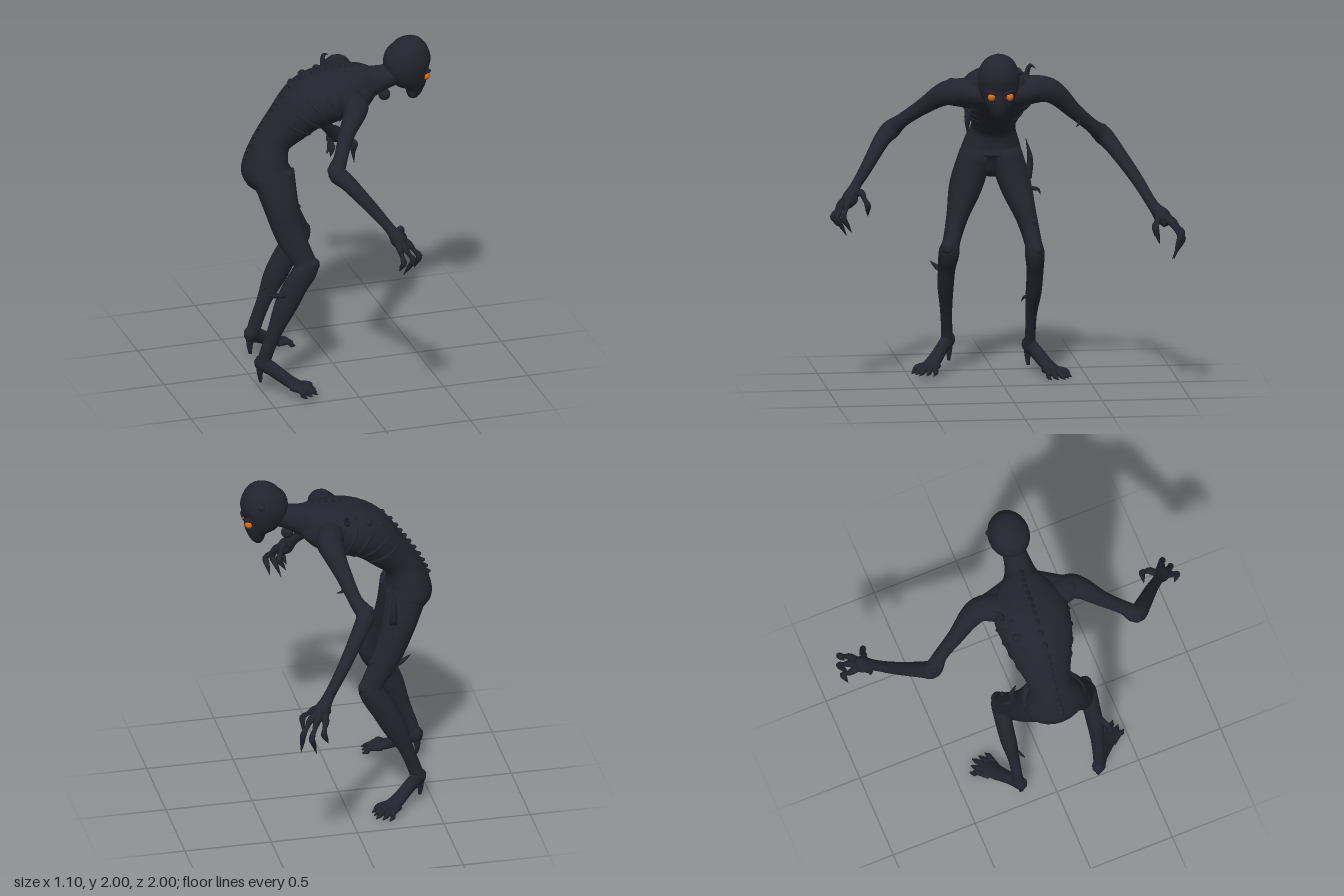
import * as THREE from 'three';

const V = (x, y, z) => new THREE.Vector3(x, y, z);
const skin = new THREE.MeshStandardMaterial({ color: 0x23232f });
skin.name = 'dark skin';
const glow = new THREE.MeshStandardMaterial({ color: 0xd9690c });
glow.name = 'orange eye';

// Smooth path through sections [x, y, z, halfWidth, halfDepth]; width lies along the hint direction
function sweep(rows, hint) {
  const path = new THREE.CatmullRomCurve3(rows.map(r => V(r[0], r[1], r[2])), false, 'catmullrom', 0.5);
  const size = new THREE.CatmullRomCurve3(rows.map(r => V(r[3], r[4] ?? r[3], 0)), false, 'catmullrom', 0.5);
  return (t, angle, grow = 0) => {
    const c = path.getPoint(t), s = size.getPoint(t), dir = path.getTangent(t);
    const u = hint.clone().addScaledVector(dir, -hint.dot(dir)).normalize();
    const v = dir.clone().cross(u);
    return c.addScaledVector(u, (Math.max(s.x, 0.001) + grow) * Math.cos(angle))
      .addScaledVector(v, (Math.max(s.y, 0.001) + grow) * Math.sin(angle));
  };
}

// Closed skin over a sweep
function loft(name, rows, hint = V(0, 0, 1), sides = 14, steps = 4) {
  const at = sweep(rows, hint), n = (rows.length - 1) * steps, pos = [], idx = [];
  for (let i = 0; i <= n; i++)
    for (let j = 0; j < sides; j++) pos.push(...at(i / n, j / sides * Math.PI * 2).toArray());
  for (let i = 0; i < n; i++)
    for (let j = 0; j < sides; j++) {
      const k = (j + 1) % sides, a = i * sides + j, b = i * sides + k;
      idx.push(a, b, b + sides, a, b + sides, a + sides);
    }
  for (let j = 1; j < sides - 1; j++) {
    idx.push(0, j + 1, j);
    idx.push(n * sides, n * sides + j, n * sides + j + 1);
  }
  const g = new THREE.BufferGeometry();
  g.setAttribute('position', new THREE.Float32BufferAttribute(pos, 3));
  g.setIndex(idx);
  g.computeVertexNormals();
  const m = new THREE.Mesh(g, skin);
  m.name = name;
  return m;
}

function ball(name, p, r, mat = skin) {
  const m = new THREE.Mesh(new THREE.SphereGeometry(r, 14, 10), mat);
  m.position.set(...p);
  m.name = name;
  return m;
}

// Finger with swollen knuckles and a pointed claw
function finger(base, knuckle, mid, tip) {
  const mix = (a, b, t) => a.map((v, i) => v + (b[i] - v) * t);
  return loft('finger', [[...base, 0.022], [...knuckle, 0.021], [...mix(knuckle, mid, 0.5), 0.013],
    [...mid, 0.018], [...mix(mid, tip, 0.45), 0.013], [...tip, 0.001]], V(1, 0, 0.2), 8, 3);
}

function arm(rows, palm, fingers) {
  const g = new THREE.Group();
  g.name = 'arm';
  g.add(loft('armLimb', rows, V(1, 0, 0)));
  for (const f of fingers) g.add(finger(palm, ...f));
  return g;
}

// Foot with a heel spur and five toes; d is its heading
function foot(x, z, dx, dz, lift) {
  const g = new THREE.Group(), l = Math.hypot(dx, dz), d = V(dx / l, 0, dz / l), w = V(-d.z, 0, d.x);
  g.name = 'foot';
  const p = (s, o, y) => [x + d.x * s + w.x * o, y + lift, z + d.z * s + w.z * o];
  g.add(loft('footBody', [[...p(-0.045, 0, 0.18), 0.02], [...p(-0.02, 0, 0.17), 0.036, 0.045],
    [...p(0.06, 0, 0.13), 0.034, 0.042], [...p(0.15, 0, 0.075), 0.045, 0.032],
    [...p(0.22, 0, 0.045), 0.055, 0.024], [...p(0.25, 0, 0.035), 0.04, 0.012]], w));
  g.add(loft('heelSpur', [[...p(-0.01, 0, 0.16), 0.03], [...p(-0.02, 0, 0.1), 0.018],
    [...p(-0.015, 0, 0.045), 0.009]], w, 8));
  for (let i = -2; i <= 2; i++) {
    const reach = 0.325 - 0.018 * Math.abs(i);
    g.add(loft('toe', [[...p(0.18, i * 0.02, 0.05), 0.016], [...p(0.25, i * 0.029, 0.045), 0.017],
      [...p(reach - 0.03, i * 0.034, 0.026), 0.015], [...p(reach, i * 0.036, 0.012), 0.003]], w, 8, 3));
  }
  return g;
}

export function createModel() {
  const model = new THREE.Group();
  model.name = 'gauntCreature';

  // Hunched torso from pelvis to neck
  const torso = [
    [-0.36, 1.16, 0.03, 0.08, 0.05], [-0.40, 1.25, 0.025, 0.175, 0.135], [-0.40, 1.34, 0.02, 0.16, 0.12],
    [-0.36, 1.45, 0.015, 0.125, 0.105], [-0.27, 1.55, 0.02, 0.155, 0.125], [-0.15, 1.66, 0.03, 0.20, 0.15],
    [0.0, 1.71, 0.04, 0.215, 0.15], [0.12, 1.745, 0.05, 0.165, 0.115], [0.2, 1.755, 0.065, 0.1, 0.09],
    [0.28, 1.775, 0.075, 0.075, 0.07], [0.38, 1.8, 0.08, 0.065, 0.06]];
  model.add(loft('torso', torso, V(0, 0, 1), 24, 5));

  // Ribs and the row of vertebrae follow the torso surface
  const at = sweep(torso, V(0, 0, 1));
  const backSide = at(0.3, Math.PI / 2).x < at(0.3, -Math.PI / 2).x ? 1 : -1;
  for (const side of [0, 1])
    for (let r = 0; r < 5; r++) {
      const rows = [];
      for (let k = 0; k <= 5; k++) {
        const a = -backSide * (-0.7 + k * 0.36);
        rows.push([...at(0.4 + r * 0.05 + k * 0.006, side ? Math.PI - a : a, -0.002).toArray(), k % 5 ? 0.009 : 0.002]);
      }
      model.add(loft('rib', rows, V(1, 0.3, 0.1), 7, 3));
    }
  for (let i = 0; i < 21; i++) {
    const t = 0.2 + i * 0.029, a = backSide * Math.PI / 2;
    const base = at(t, a, -0.02), tip = at(t, a, 0.018 - Math.max(0, i - 13) * 0.0015);
    tip.lerp(at(t - 0.015, a, 0.012), 0.5);
    model.add(loft('vertebra', [[...base.toArray(), 0.027], [...tip.toArray(), 0.007]], V(0, 0, 1), 7, 3));
  }

  // Collar muscles
  for (const end of [[0.03, 1.72, 0.31], [0.1, 1.74, -0.22]])
    model.add(loft('collar', [[0.2, 1.72, 0.07, 0.05], [(end[0] + 0.19) / 2, 1.715, (end[2] + 0.07) / 2, 0.06],
      [...end, 0.06]], V(1, 0, 0)));

  // Skull with tapering jaw, eyes and a small lump
  const head = new THREE.Group();
  head.name = 'head';
  head.add(loft('skull', [[0.39, 2.0, 0.08, 0.004], [0.395, 1.985, 0.08, 0.055, 0.06], [0.405, 1.95, 0.08, 0.094, 0.108],
    [0.412, 1.9, 0.08, 0.114, 0.132], [0.416, 1.84, 0.08, 0.118, 0.135], [0.43, 1.78, 0.08, 0.104, 0.112],
    [0.45, 1.73, 0.08, 0.08, 0.082], [0.455, 1.69, 0.08, 0.058, 0.055], [0.447, 1.65, 0.08, 0.04, 0.035],
    [0.44, 1.63, 0.08, 0.018]], V(0, 0, 1), 24));
  for (const s of [-1, 1]) {
    head.add(ball('eye', [0.513, 1.773, 0.08 + s * 0.052], 0.022, glow));
    head.add(loft('brow', [[0.537, 1.79, 0.08 + s * 0.015, 0.006], [0.525, 1.803, 0.08 + s * 0.055, 0.012],
      [0.475, 1.8, 0.08 + s * 0.09, 0.006]], V(0, 1, 0), 8));
  }
  head.add(ball('headLump', [0.45, 1.9, -0.025], 0.02), ball('throatLump', [0.28, 1.67, 0.08], 0.035));
  model.add(head);

  // Arms
  model.add(arm([[0.02, 1.7, 0.16, 0.09], [0.04, 1.715, 0.28, 0.078], [0.02, 1.7, 0.35, 0.066], [-0.06, 1.62, 0.45, 0.046],
    [-0.13, 1.53, 0.56, 0.04], [-0.17, 1.47, 0.62, 0.054], [-0.12, 1.42, 0.68, 0.046], [0, 1.28, 0.785, 0.035],
    [0.07, 1.19, 0.855, 0.03], [0.11, 1.13, 0.89, 0.046], [0.13, 1.09, 0.91, 0.025]], [0.1, 1.15, 0.88],
  [[[0.13, 1.1, 0.935], [0.17, 1.03, 0.97], [0.13, 0.92, 0.91]],
    [[0.16, 1.11, 0.91], [0.215, 1.04, 0.94], [0.2, 0.95, 0.89]],
    [[0.1, 1.1, 0.94], [0.11, 1.03, 0.985], [0.09, 0.97, 0.96]],
    [[0.14, 1.17, 0.83], [0.17, 1.1, 0.795], [0.13, 1.03, 0.79]]]));
  model.add(arm([[0.06, 1.72, -0.08, 0.09], [0.1, 1.735, -0.21, 0.075], [0.09, 1.7, -0.29, 0.064], [0.05, 1.6, -0.39, 0.047],
    [0.01, 1.5, -0.5, 0.04], [-0.03, 1.44, -0.565, 0.054], [0.01, 1.38, -0.62, 0.046], [0.13, 1.22, -0.735, 0.036],
    [0.24, 1.08, -0.82, 0.032], [0.29, 1.02, -0.87, 0.048], [0.32, 0.98, -0.89, 0.025]], [0.28, 1.04, -0.86],
  [[[0.36, 1.0, -0.91], [0.415, 0.93, -0.955], [0.42, 0.8, -0.92]],
    [[0.33, 0.99, -0.93], [0.37, 0.91, -0.975], [0.33, 0.78, -0.92]],
    [[0.28, 0.99, -0.93], [0.3, 0.93, -0.98], [0.27, 0.86, -0.96]],
    [[0.33, 1.02, -0.84], [0.39, 0.97, -0.82], [0.39, 0.88, -0.84]],
    [[0.25, 1.01, -0.85], [0.26, 0.96, -0.83], [0.25, 0.9, -0.83]]]));

  // Legs and feet
  model.add(loft('leg', [[-0.39, 1.28, 0.11, 0.095, 0.125], [-0.36, 1.1, 0.172, 0.095, 0.1], [-0.32, 0.93, 0.225, 0.063, 0.085],
    [-0.26, 0.8, 0.265, 0.05, 0.066], [-0.25, 0.74, 0.28, 0.06, 0.072], [-0.31, 0.65, 0.285, 0.05, 0.072],
    [-0.37, 0.53, 0.285, 0.047, 0.068], [-0.43, 0.38, 0.275, 0.035, 0.045], [-0.48, 0.24, 0.265, 0.032, 0.04],
    [-0.495, 0.16, 0.262, 0.035, 0.04]]));
  model.add(loft('leg', [[-0.38, 1.28, -0.055, 0.095, 0.125], [-0.32, 1.1, -0.108, 0.09, 0.1], [-0.24, 0.93, -0.16, 0.06, 0.085],
    [-0.16, 0.8, -0.188, 0.05, 0.066], [-0.145, 0.74, -0.195, 0.056, 0.07], [-0.21, 0.63, -0.205, 0.048, 0.072],
    [-0.28, 0.5, -0.205, 0.045, 0.068], [-0.34, 0.37, -0.2, 0.033, 0.045], [-0.39, 0.24, -0.2, 0.03, 0.04],
    [-0.415, 0.16, -0.2, 0.035, 0.04]]));
  model.add(foot(-0.495, 0.26, 0.25, 0.18, 0.022), foot(-0.415, -0.2, 0.28, -0.17, 0));

  // Curved thorns: root, middle, tip, root radius
  const thorns = [
    [[-0.39, 0.61, 0.31], [-0.45, 0.625, 0.335], [-0.5, 0.645, 0.36], 0.018],
    [[-0.28, 1.15, -0.17], [-0.28, 1.26, -0.185], [-0.28, 1.38, -0.16], 0.024],
    [[-0.27, 1.09, -0.18], [-0.26, 1.09, -0.225], [-0.25, 1.06, -0.24], 0.014],
    [[-0.18, 0.93, -0.18], [-0.14, 0.92, -0.19], [-0.15, 0.88, -0.18], 0.014],
    [[-0.32, 0.44, -0.19], [-0.36, 0.45, -0.165], [-0.38, 0.42, -0.145], 0.014],
    [[0.02, 1.62, 0.2], [0.03, 1.55, 0.21], [0.02, 1.47, 0.21], 0.025],
    [[0.05, 1.57, -0.4], [0.07, 1.53, -0.42], [0.1, 1.51, -0.4], 0.014],
    [[-0.02, 1.79, -0.13], [-0.01, 1.85, -0.15], [0.03, 1.84, -0.18], 0.016]];
  for (const [a, b, c, r] of thorns)
    model.add(loft('thorn', [[...a, r], [...b, r * 0.7], [...c, 0.001]], V(0.6, 0.2, 0.7), 8));

  // Lumps on the back and joints
  for (const [x, y, z, r] of [[-0.22, 1.74, -0.08, 0.024], [-0.15, 1.775, -0.1, 0.026], [-0.07, 1.805, -0.09, 0.022],
    [-0.14, 1.76, -0.05, 0.02], [0.11, 1.785, -0.2, 0.03], [0.13, 1.75, -0.26, 0.03], [0.02, 1.765, 0.3, 0.03],
    [0.07, 1.71, 0.34, 0.03], [-0.2, 1.49, 0.62, 0.028], [-0.05, 1.47, -0.57, 0.028],
    [-0.21, 0.77, 0.29, 0.04], [-0.11, 0.77, -0.2, 0.04]])
    model.add(ball('lump', [x, y, z], r));

  return model;
}
